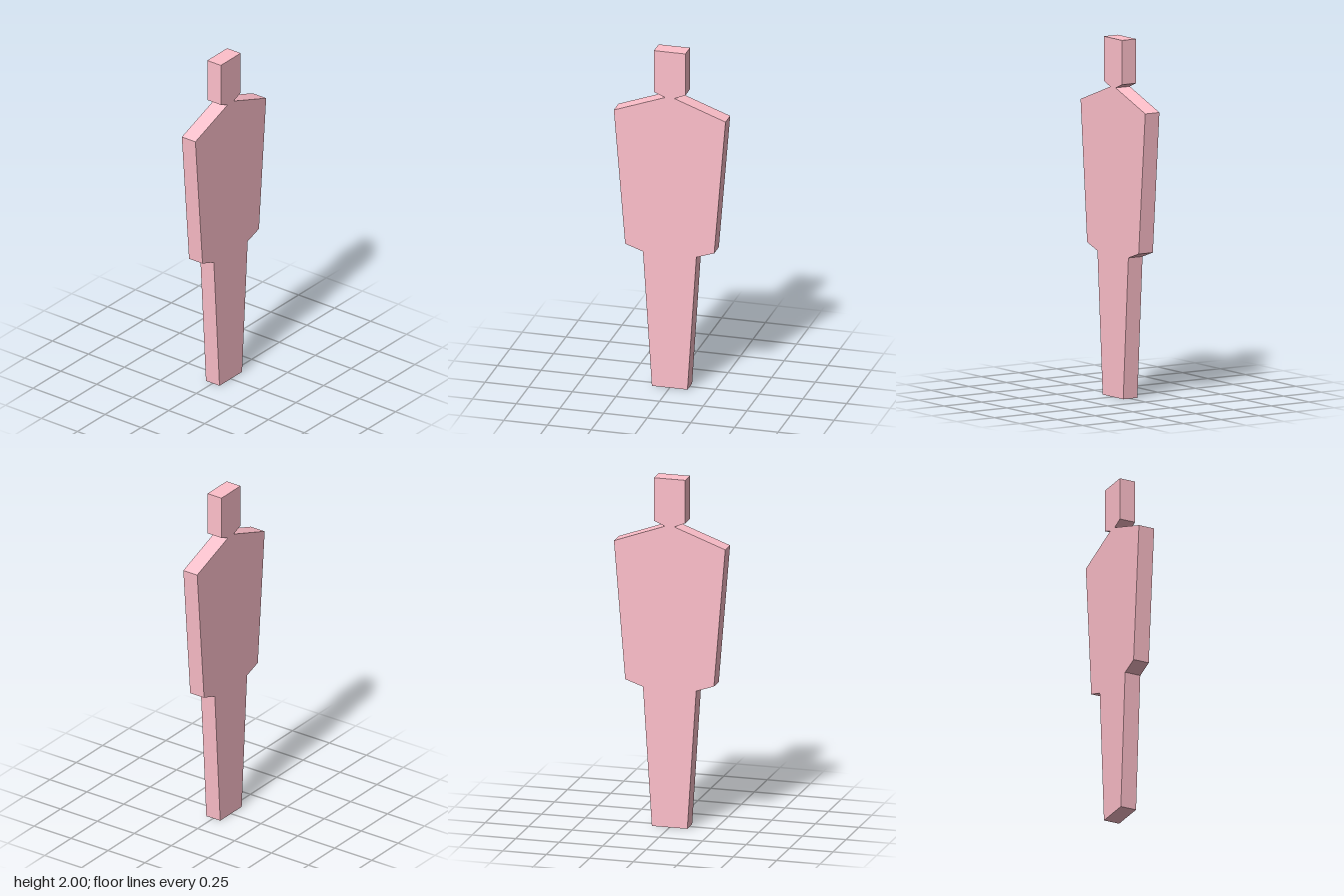
import * as THREE from 'three';

// Right half of the silhouette, from the feet up to the crown
const HALF_OUTLINE = [
  [0.102, 0],     // foot
  [0.153, 0.795], // top of leg
  [0.255, 0.83],  // hand
  [0.32, 1.62],   // shoulder
  [0.027, 1.727], // neck
  [0.09, 1.753],  // jaw
  [0.09, 2],      // crown
];
const DEPTH = 0.094;

export function createModel() {
  const group = new THREE.Group();
  group.name = 'standingFigure';

  // Mirror the half outline to close the silhouette
  const mirrored = HALF_OUTLINE.map(([x, y]) => [-x, y]).reverse();
  const outline = [...HALF_OUTLINE, ...mirrored].map(([x, y]) => new THREE.Vector2(x, y));

  // Flat cut-out body, centred on its thickness
  const geometry = new THREE.ExtrudeGeometry(new THREE.Shape(outline), {
    depth: DEPTH,
    bevelEnabled: false,
  });
  geometry.translate(0, 0, -DEPTH / 2);

  const material = new THREE.MeshStandardMaterial({ color: 0xffc0cb, flatShading: true });
  const body = new THREE.Mesh(geometry, material);
  body.name = 'bodyCutout';
  group.add(body);
  return group;
}
